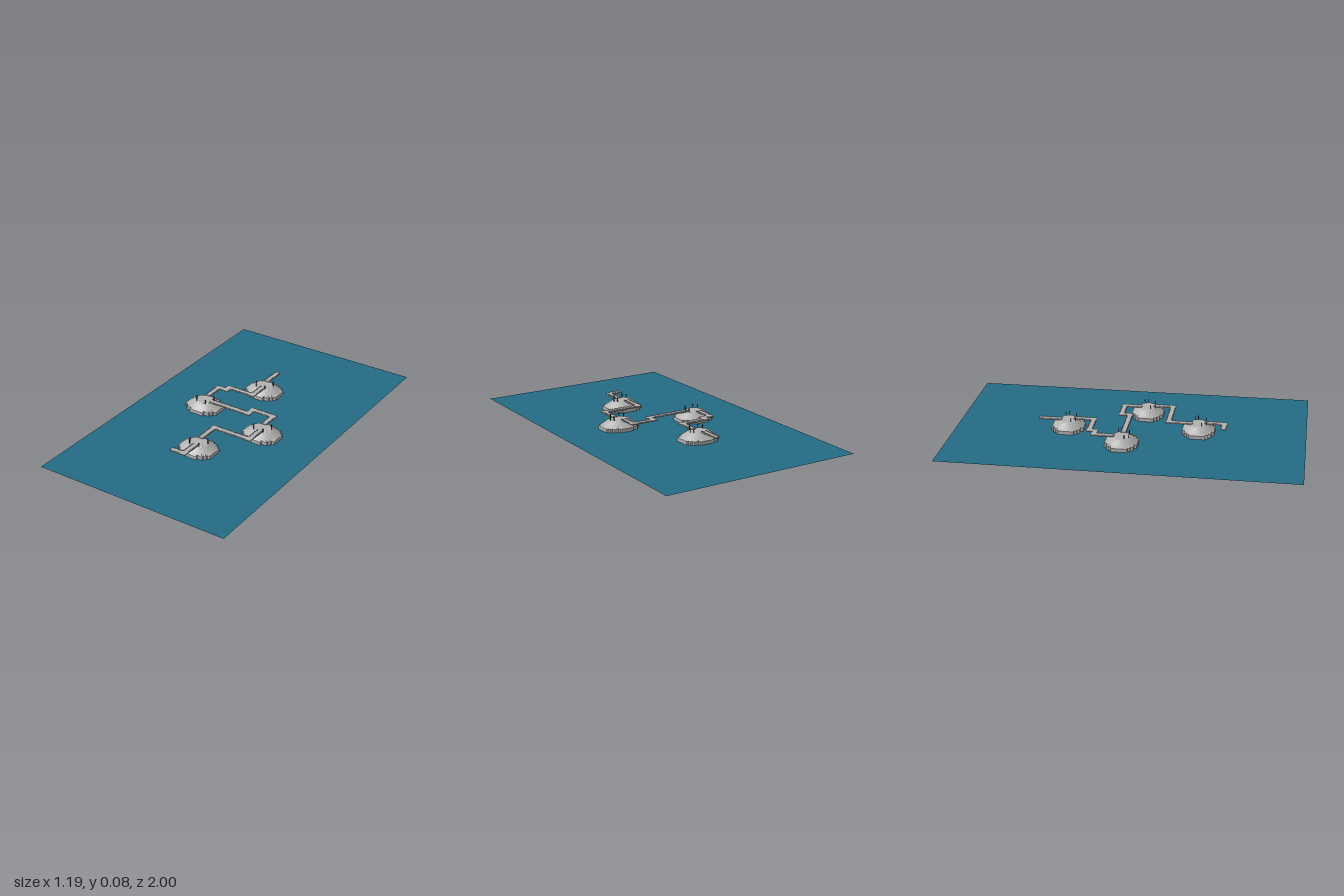
import * as THREE from 'three';

const stone = new THREE.MeshStandardMaterial({ color: 0xb2b2b2, flatShading: true, side: THREE.DoubleSide });
stone.name = 'stone grey';
const water = new THREE.MeshStandardMaterial({ color: 0x246b85, side: THREE.DoubleSide });
water.name = 'sea blue';
const iron = new THREE.MeshStandardMaterial({ color: 0x2a2a2a });
iron.name = 'dark iron';

const NX = 14, NZ = 12, CELL = 0.0153;
const DECK = 0.055, WIDTH = 0.033;

// Tiled mound: stepped outline, upright foot, sloping sides and a flat top
function islandGeometry() {
  const pos = [];
  const quad = (a, b, c, d) => pos.push(...a, ...b, ...c, ...a, ...c, ...d);
  const reach = (x, z) => Math.hypot(x / (NX / 2), z / (NZ / 2));
  const inside = (i, j) => i >= 0 && j >= 0 && i < NX && j < NZ &&
    reach(i + 0.5 - NX / 2, j + 0.5 - NZ / 2) < 1.03;
  const corner = (i, j) => {
    const x = i - NX / 2, z = j - NZ / 2;
    const t = THREE.MathUtils.clamp((1 - reach(x, z)) / 0.45, 0, 1);
    return [x * CELL, 0.02 + (DECK - 0.02) * t, z * CELL];
  };
  const foot = ([x, , z]) => [x, 0, z];
  for (let i = 0; i < NX; i++) for (let j = 0; j < NZ; j++) {
    if (!inside(i, j)) continue;
    const a = corner(i, j), b = corner(i, j + 1), c = corner(i + 1, j + 1), d = corner(i + 1, j);
    quad(a, b, c, d);
    // Upright foot wherever the neighbouring tile is missing
    for (const [di, dj, p, q] of [[-1, 0, a, b], [0, 1, b, c], [1, 0, c, d], [0, -1, d, a]]) {
      if (!inside(i + di, j + dj)) quad(p, foot(p), foot(q), q);
    }
  }
  const g = new THREE.BufferGeometry();
  g.setAttribute('position', new THREE.Float32BufferAttribute(pos, 3));
  g.computeVertexNormals();
  return g;
}

function box(parent, name, mat, size, at) {
  const m = new THREE.Mesh(new THREE.BoxGeometry(...size), mat);
  m.name = name;
  m.position.set(...at);
  parent.add(m);
}

// Thin post with a crossbar and a small head
function lampPost(x, z) {
  const g = new THREE.Group();
  g.name = 'lampPost';
  box(g, 'post', iron, [0.003, 0.02, 0.003], [0, 0.01, 0]);
  box(g, 'crossbar', iron, [0.01, 0.002, 0.003], [0, 0.016, 0]);
  box(g, 'head', iron, [0.005, 0.003, 0.005], [0, 0.0195, 0]);
  g.position.set(x, DECK, z);
  return g;
}

// Right-angled walkway along centre points, with kerb teeth on both edges
function walkway(points) {
  const g = new THREE.Group();
  g.name = 'walkway';
  const runs = points.slice(1).map((p, k) => {
    const q = points[k], h = WIDTH / 2;
    return { x0: Math.min(p[0], q[0]) - h, x1: Math.max(p[0], q[0]) + h,
      z0: Math.min(p[1], q[1]) - h, z1: Math.max(p[1], q[1]) + h, alongX: p[1] === q[1] };
  });
  const covered = (x, z, skip) => runs.some(r => r !== skip &&
    x > r.x0 - 0.001 && x < r.x1 + 0.001 && z > r.z0 - 0.001 && z < r.z1 + 0.001);
  for (const r of runs) {
    const w = r.x1 - r.x0, d = r.z1 - r.z0, cx = (r.x0 + r.x1) / 2, cz = (r.z0 + r.z1) / 2;
    box(g, 'deck', stone, [w, 0.006, d], [cx, DECK + 0.001, cz]);
    const len = r.alongX ? w : d, n = Math.round(len / 0.012);
    for (let i = 0; i < n; i++) for (const s of [-1, 1]) {
      const t = (i + 0.5) / n, e = s * (WIDTH / 2 - 0.002);
      const x = r.alongX ? r.x0 + t * w : cx + e;
      const z = r.alongX ? cz + e : r.z0 + t * d;
      if (!covered(x, z, r)) box(g, 'kerbTooth', stone, [0.005, 0.004, 0.005], [x, DECK + 0.005, z]);
    }
  }
  return g;
}

export function createModel() {
  const model = new THREE.Group();
  model.name = 'islandChain';

  const sea = new THREE.Mesh(new THREE.PlaneGeometry(1.19, 2), water);
  sea.name = 'sea';
  sea.rotation.x = -Math.PI / 2;
  model.add(sea);

  // Four matching islands, each with a ring of posts
  const shape = islandGeometry();
  const posts = [[-0.043, 0.02], [-0.028, 0.045], [0.03, 0.04], [0.045, -0.025], [0.058, -0.008]];
  for (const [x, z] of [[-0.028, -0.355], [-0.222, -0.018], [0.228, 0.07], [0.017, 0.39]]) {
    const island = new THREE.Group();
    island.name = 'island';
    const mound = new THREE.Mesh(shape, stone);
    mound.name = 'mound';
    island.add(mound);
    for (const [px, pz] of posts) island.add(lampPost(px, pz));
    island.position.set(x, 0, z);
    model.add(island);
  }

  // Walkways linking the islands, plus a stub at each end
  const routes = [
    [[-0.037, -0.508], [-0.037, -0.41]],
    [[-0.016, -0.31], [-0.016, -0.209], [-0.179, -0.209], [-0.179, -0.175], [-0.232, -0.175], [-0.232, -0.075]],
    [[-0.165, -0.014], [0.079, -0.014], [0.079, -0.065], [0.217, -0.065], [0.217, 0.02]],
    [[0.237, 0.12], [0.237, 0.218], [0.006, 0.218], [0.006, 0.34]],
    [[0.023, 0.44], [0.023, 0.536], [-0.045, 0.536]],
  ];
  for (const r of routes) model.add(walkway(r));
  return model;
}
